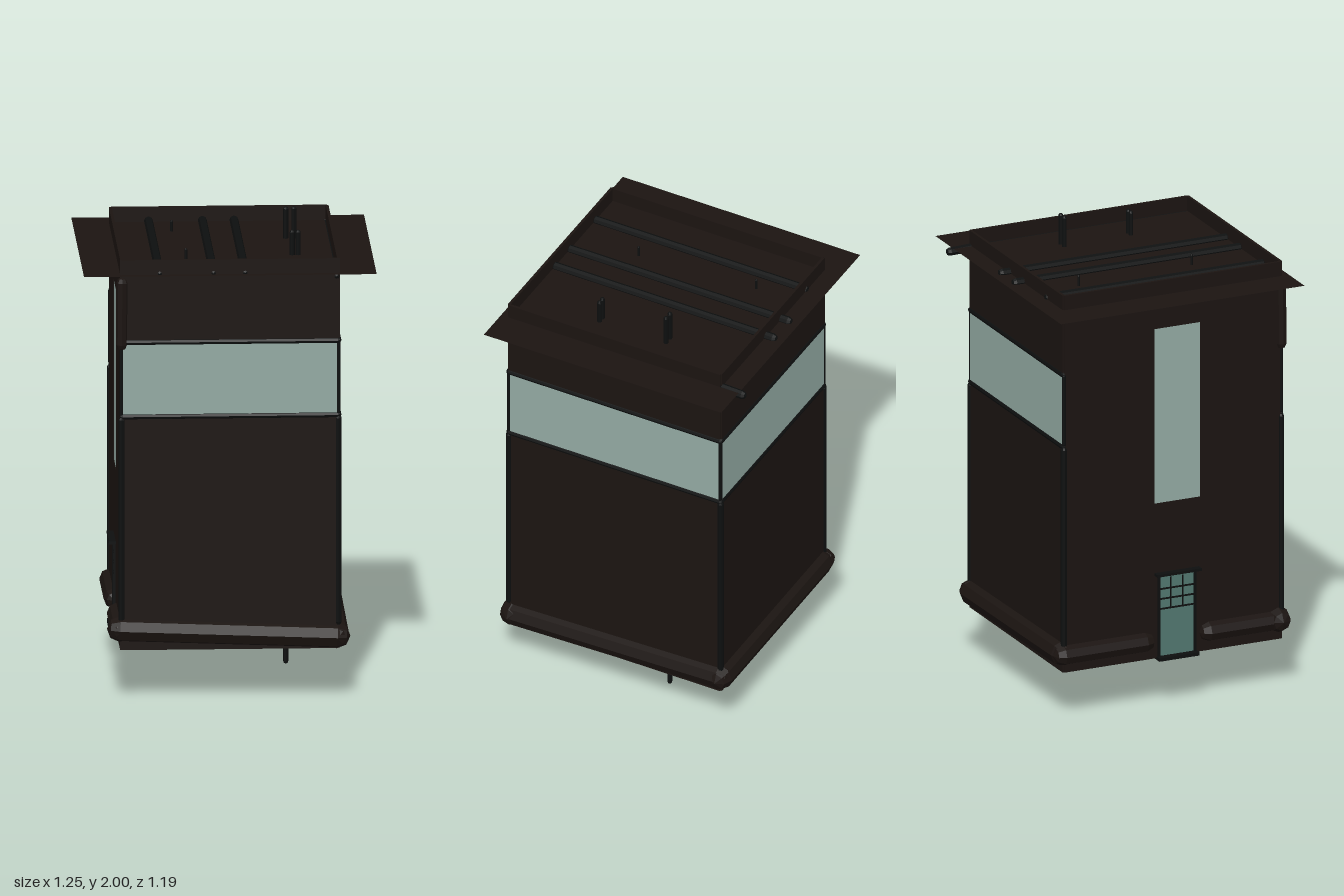
import * as THREE from 'three';

const mat = (color, side = THREE.FrontSide) => new THREE.MeshStandardMaterial({ color, side, flatShading: true });
const V = (x, y, z) => new THREE.Vector3(x, y, z);

export function createModel() {
  const root = new THREE.Group();
  const wood = mat(0x1b1411), roofMat = mat(0x1b1411, THREE.DoubleSide), dark = mat(0x0d0f0f);
  const glass = mat(0x93aaa3), doorMat = mat(0x527770), lampMat = mat(0x8a7a30);

  const box = (name, w, h, d, x, y, z, m = wood) => {
    const mesh = new THREE.Mesh(new THREE.BoxGeometry(w, h, d), m);
    mesh.name = name;
    mesh.position.set(x, y, z);
    root.add(mesh);
    return mesh;
  };
  // Round-ended log or pipe running between two points
  const log = (name, a, b, r, m = dark, sides = 8) => {
    const dir = b.clone().sub(a), len = dir.length();
    const mesh = new THREE.Mesh(new THREE.CapsuleGeometry(r, Math.max(len - 2 * r, 0.001), 2, sides), m);
    mesh.name = name;
    mesh.position.copy(a).add(b).multiplyScalar(0.5);
    mesh.quaternion.setFromUnitVectors(V(0, 1, 0), dir.normalize());
    root.add(mesh);
    return mesh;
  };

  const X = 0.463, Z0 = -0.475, Z1 = 0.55, ZC = (Z0 + Z1) / 2, D = Z1 - Z0, T = 0.012;
  const bottom = 0.22, sill = 1.245, head = 1.565, top = 1.925;

  // Three glazed walls: lower panel, window band, upper panel
  const bands = [
    ['lowerWall', bottom, sill, wood],
    ['windowBand', sill, head, glass],
    ['upperWall', head, top, wood],
  ];
  for (const [name, y0, y1, m] of bands) {
    const h = y1 - y0, y = (y0 + y1) / 2;
    box(name + 'Front', 2 * X, h, T, 0, y, Z1, m);
    box(name + 'Back', 2 * X, h, T, 0, y, Z0, m);
    box(name + 'Side', T, h, D, X, y, ZC, m);
  }

  // Entrance wall with a tall window opening and a doorway; shape x becomes z
  const rect = (P, x0, x1, y0, y1) => new P([[x0, y0], [x1, y0], [x1, y1], [x0, y1]].map(p => new THREE.Vector2(...p)));
  const shape = rect(THREE.Shape, -Z1, -Z0, bottom, top);
  shape.holes.push(rect(THREE.Path, -0.165, 0.05, 0.92, 1.71), rect(THREE.Path, -0.14, 0.03, 0.225, 0.59));
  const entrance = new THREE.Mesh(new THREE.ExtrudeGeometry(shape, { depth: T, bevelEnabled: false }), wood);
  entrance.name = 'entranceWall';
  entrance.rotation.y = Math.PI / 2;
  entrance.position.x = -X - T / 2;
  root.add(entrance);
  box('tallWindow', 0.008, 0.79, 0.215, -X, 1.315, 0.0575, glass);

  // Door with glazing bars, frame and a small ledge
  box('door', 0.01, 0.365, 0.17, -X, 0.4075, 0.055, doorMat);
  for (const z of [-0.03, 0.14]) box('doorFrame', 0.025, 0.37, 0.012, -X, 0.41, z, dark);
  for (const z of [0.027, 0.083]) box('glazingBar', 0.018, 0.14, 0.006, -X, 0.51, z, dark);
  for (const y of [0.44, 0.485, 0.53]) box('doorRail', 0.018, 0.007, 0.17, -X, y, 0.055, dark);
  box('doorLedge', 0.05, 0.012, 0.21, -X - 0.01, 0.6, 0.055, dark);
  box('doorStep', 0.05, 0.015, 0.19, -X - 0.01, 0.22, 0.055, dark);

  // Thin overhanging roof sheet
  const roof = new THREE.Mesh(new THREE.PlaneGeometry(1.25, 1.15), roofMat);
  roof.name = 'roof';
  roof.rotation.x = -Math.PI / 2;
  roof.position.set(0, 1.86, 0.01);
  root.add(roof);

  // Roof poles
  for (const x of [-0.3, -0.07, 0.065]) log('roofPole', V(x, 1.865, x < -0.2 ? -0.49 : -0.535), V(x, 1.865, 0.56), 0.019);
  log('edgePole', V(0.455, 1.845, -0.59), V(0.455, 1.845, 0.56), 0.016);
  log('edgePoleEnd', V(0.455, 1.845, -0.595), V(0.455, 1.85, -0.46), 0.019);

  // Upright pipes through the building, and short vents on the roof
  const pipes = [[0.27, -0.125, 0, 2], [0.305, -0.125, 0.25, 2], [0.283, 0.195, 0.25, 1.97], [0.308, 0.195, 0.16, 1.97]];
  for (const [x, z, y0, y1] of pipes) log('uprightPipe', V(x, y0, z), V(x, y1, z), 0.011);
  for (const [x, z] of [[-0.21, -0.285], [-0.175, 0.265]]) log('roofVent', V(x, 1.84, z), V(x, 1.91, z), 0.006);

  // Foundation logs, slightly out of level
  const base = 0.056;
  log('baseLogFront', V(-0.525, 0.31, 0.535), V(0.515, 0.268, 0.535), base, wood);
  log('baseLogBack', V(-0.5, 0.3, -0.472), V(0.515, 0.29, -0.472), base, wood);
  log('baseLogSide', V(0.455, 0.268, 0.59), V(0.455, 0.295, -0.525), base, wood);
  log('baseLogEntrance', V(-0.465, 0.305, 0.59), V(-0.465, 0.305, 0.16), base * 0.8, wood);
  log('baseLogEntrance', V(-0.465, 0.3, -0.05), V(-0.465, 0.3, -0.525), base * 0.8, wood);

  // Window rails and corner posts
  for (const y of [sill - 0.005, head]) {
    for (const z of [Z0, Z1]) log('windowRail', V(-X - 0.008, y, z), V(X + 0.01, y, z), 0.013);
    log('windowRail', V(X, y, Z0 - 0.012), V(X, y, Z1 + 0.012), 0.013);
  }
  for (const x of [-X, X]) for (const z of [Z0, Z1]) {
    log('cornerPost', V(x, 0.32, z), V(x, 1.24, z), 0.014);
    log('windowPost', V(x, 1.24, z), V(x, 1.57, z), 0.009);
  }
  log('cornerLog', V(-0.463, 1.53, 0.55), V(-0.46, 1.85, 0.55), 0.025, wood);

  // Small lamp in the inner corner
  const lamp = new THREE.Mesh(new THREE.SphereGeometry(0.025, 8, 6), lampMat);
  lamp.name = 'lamp';
  lamp.position.set(-0.43, 0.83, 0.51);
  root.add(lamp);

  return root;
}
